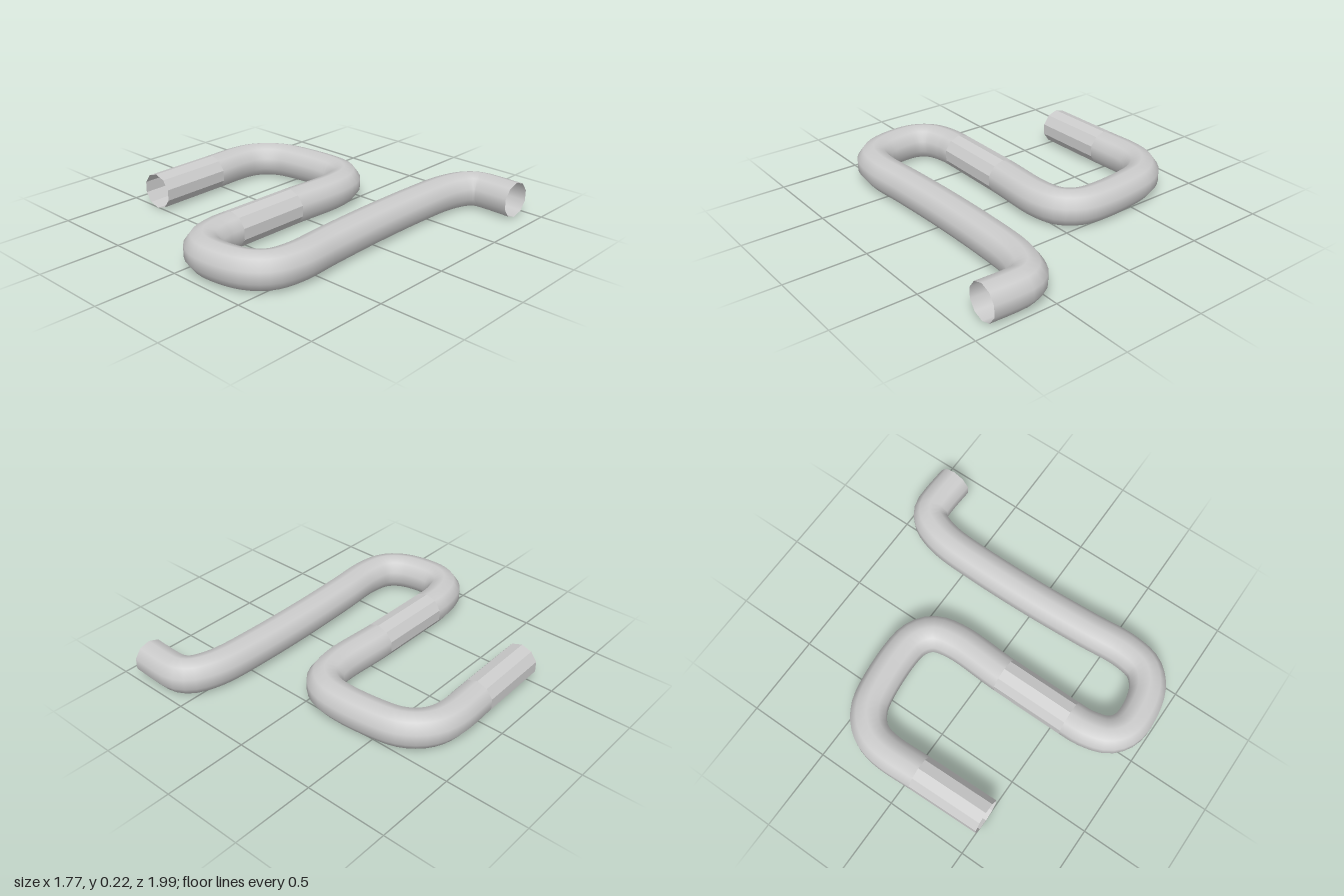
import * as THREE from 'three';

const RADIUS = 0.109;
const SIDES = 10;

// Centre line of the bent pipe as [x, z], from the open left end to the open back end
const PATH = [
  [-0.77, 0.505], [-0.78, 0.05],
  [-0.786, -0.17], [-0.768, -0.275], [-0.725, -0.35], [-0.657, -0.407], [-0.583, -0.438],
  [-0.29, -0.472], [-0.135, -0.455], [-0.045, -0.385], [-0.008, -0.25],
  [-0.018, 0.11], [-0.021, 0.57],
  [-0.016, 0.68], [0.025, 0.81], [0.1, 0.872], [0.2, 0.888], [0.39, 0.85],
  [0.487, 0.765], [0.52, 0.62], [0.505, 0.35], [0.49, 0], [0.488, -0.4],
  [0.5, -0.66], [0.525, -0.77], [0.565, -0.85], [0.62, -0.888], [0.7, -0.896], [0.88, -0.89],
];

// A stretch of a longer curve, so that neighbouring sections meet exactly
class Section extends THREE.Curve {
  constructor(curve, from, to) {
    super();
    Object.assign(this, { curve, from, to });
  }
  getPoint(t, target) {
    return this.curve.getPoint(THREE.MathUtils.lerp(this.from, this.to, t), target);
  }
}

export function createModel() {
  const group = new THREE.Group();
  group.name = 'bentPipe';
  const centreLine = new THREE.CatmullRomCurve3(
    PATH.map(([x, z]) => new THREE.Vector3(x, RADIUS + 0.003, z)));
  const last = PATH.length - 1;

  const smooth = new THREE.MeshStandardMaterial({ color: 0xcccccc, side: THREE.DoubleSide });
  const faceted = smooth.clone();
  faceted.flatShading = true;

  const addSection = (name, from, to, segments, material) => {
    const section = new Section(centreLine, from / last, to / last);
    const mesh = new THREE.Mesh(new THREE.TubeGeometry(section, segments, RADIUS, SIDES), material);
    mesh.name = name;
    group.add(mesh);
  };

  // Straight faceted sleeves alternate with smooth bends
  addSection('facetedEnd', 0, 1, 1, faceted);
  addSection('rearBend', 1, 11, 40, smooth);
  addSection('facetedMiddle', 11, 12, 1, faceted);
  addSection('frontBendAndOutlet', 12, last, 72, smooth);
  return group;
}
